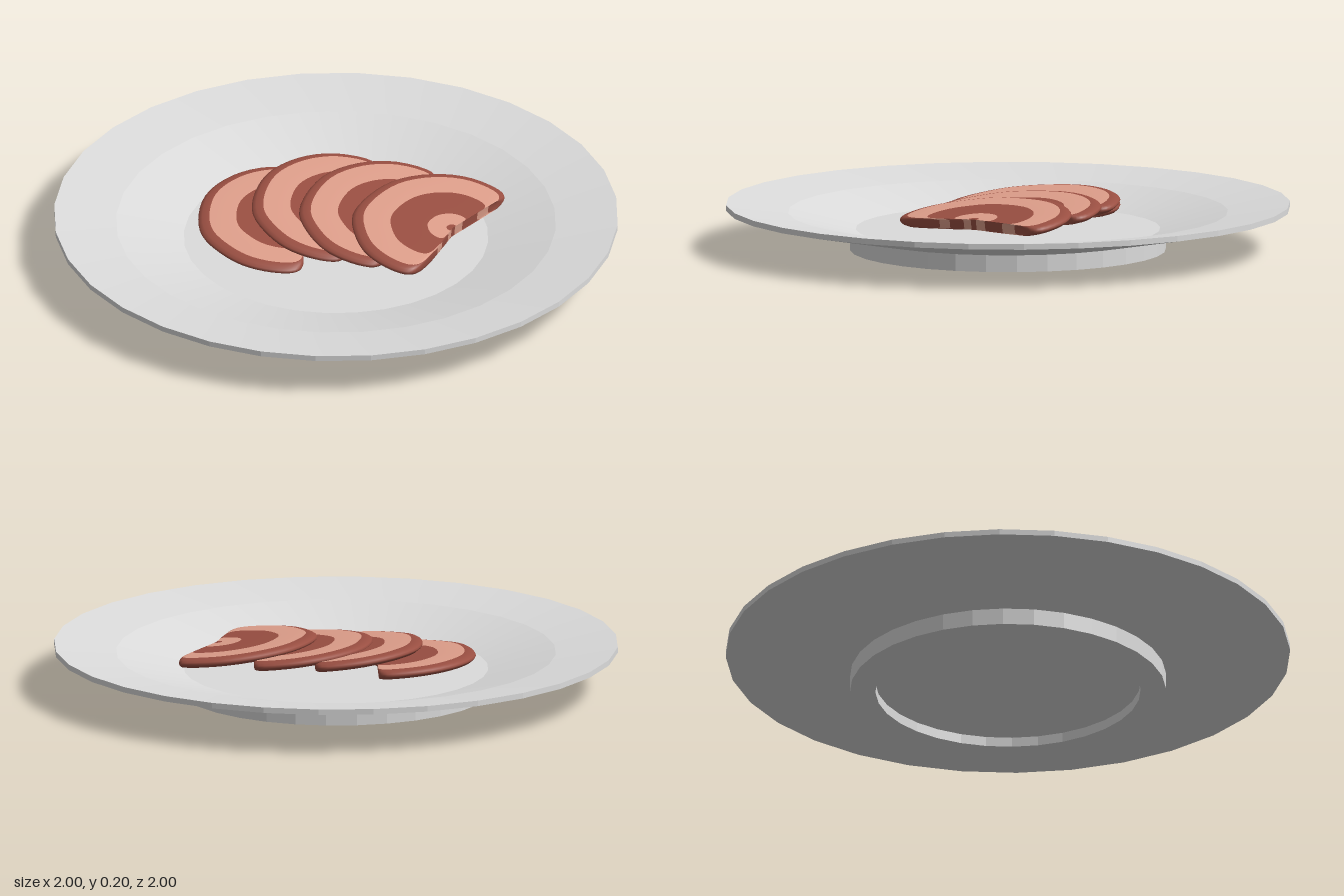
import * as THREE from 'three';
import { toCreasedNormals } from 'three/addons/utils/BufferGeometryUtils.js';

const flat = (name, color) => Object.assign(new THREE.MeshStandardMaterial({ color }), { name });

// Plate: closed profile with a foot ring, sloped underside, rim and sunken floor
function makePlate(material) {
  const profile = [
    [0, 0.035], [0.47, 0.035], [0.47, 0], [0.56, 0], [0.56, 0.06],
    [1, 0.145], [1, 0.165], [0.78, 0.135], [0.54, 0.075], [0, 0.075],
  ].map(([r, y]) => new THREE.Vector2(r, y));
  const plate = new THREE.Mesh(toCreasedNormals(new THREE.LatheGeometry(profile, 32), 0.1), material);
  plate.name = 'plate';
  return plate;
}

// Slice: a half-moon outline scaled towards the middle of its cut edge, in concentric bands
function makeSliceGeometry() {
  const outline = new THREE.CatmullRomCurve3([
    [0.03, -0.22], [0.045, -0.28], [0.02, -0.315], [-0.11, -0.33], [-0.23, -0.28], [-0.33, -0.17],
    [-0.37, -0.03], [-0.365, 0.1], [-0.31, 0.2], [-0.23, 0.28], [-0.13, 0.32], [-0.05, 0.32],
    [-0.02, 0.29], [-0.01, 0.15],
  ].map(([x, z]) => new THREE.Vector3(x, 0, z)));
  const steps = 48;
  const points = outline.getPoints(steps);

  // [scale, height] from the middle of the top, round the rim, to the middle of the bottom
  const top = [[0, 0.019], [0.06, 0.019], [0.25, 0.019], [0.62, 0.019], [0.89, 0.018], [0.96, 0.013], [0.99, 0.006]];
  const section = [...top, [1, 0], ...top.map(([s, y]) => [s, -y]).reverse()];
  const last = section.length - 1;
  const bandColour = [1, 0, 1, 0, 1, 1, 1]; // 0 flesh, 1 dark
  const positions = [];
  const faces = [[], []];
  const at = (i, j) => i * section.length + j;

  points.forEach((p, i) => {
    const thin = i === 0 || i === steps ? 0.75 : 1; // soften the cut edge
    section.forEach(([s, y]) => positions.push(-0.02 + (p.x + 0.02) * s, y * thin, p.z * s));
  });
  for (let i = 0; i < steps; i++) {
    for (let j = 0; j < last; j++) {
      const a = at(i, j), b = at(i, j + 1), c = at(i + 1, j + 1), d = at(i + 1, j);
      faces[bandColour[Math.min(j, last - 1 - j)]].push(a, b, d, b, c, d);
    }
  }
  // Cut edge, carrying the bands down its face
  for (let k = 0; k < top.length; k++) {
    for (const i of [0, steps]) {
      const a = at(i, k), b = at(i, k + 1), c = at(i, last - k - 1), d = at(i, last - k);
      faces[bandColour[k]].push(...(i ? [a, b, c, a, c, d] : [a, c, b, a, d, c]));
    }
  }

  const geometry = new THREE.BufferGeometry();
  geometry.setAttribute('position', new THREE.Float32BufferAttribute(positions, 3));
  geometry.setIndex([...faces[0], ...faces[1]]);
  geometry.addGroup(0, faces[0].length, 0);
  geometry.addGroup(faces[0].length, faces[1].length, 1);
  geometry.computeVertexNormals();
  return geometry;
}

export function createModel() {
  const model = new THREE.Group();
  model.name = 'plateOfSlices';
  const plateGrey = flat('plateGrey', 0xdcdcdc);
  const flesh = flat('flesh', 0xdf9f8b);
  const darkRind = flat('darkRind', 0x9a4f42);

  model.add(makePlate(plateGrey));

  // Fan of overlapping slices: x, y, z, turn, sideways tilt
  const geometry = makeSliceGeometry();
  [
    [-0.13, 0.105, 0, 0.52, -0.08],
    [0.04, 0.143, -0.09, 0.38, -0.12],
    [0.22, 0.144, -0.11, 0.24, -0.12],
    [0.43, 0.145, -0.1, 0, -0.12],
  ].forEach(([x, y, z, turn, tilt], i) => {
    const slice = new THREE.Mesh(geometry, [flesh, darkRind]);
    slice.name = `slice${i + 1}`;
    slice.position.set(x, y, z);
    slice.rotation.set(0.04, turn, tilt, 'XZY');
    model.add(slice);
  });
  return model;
}
